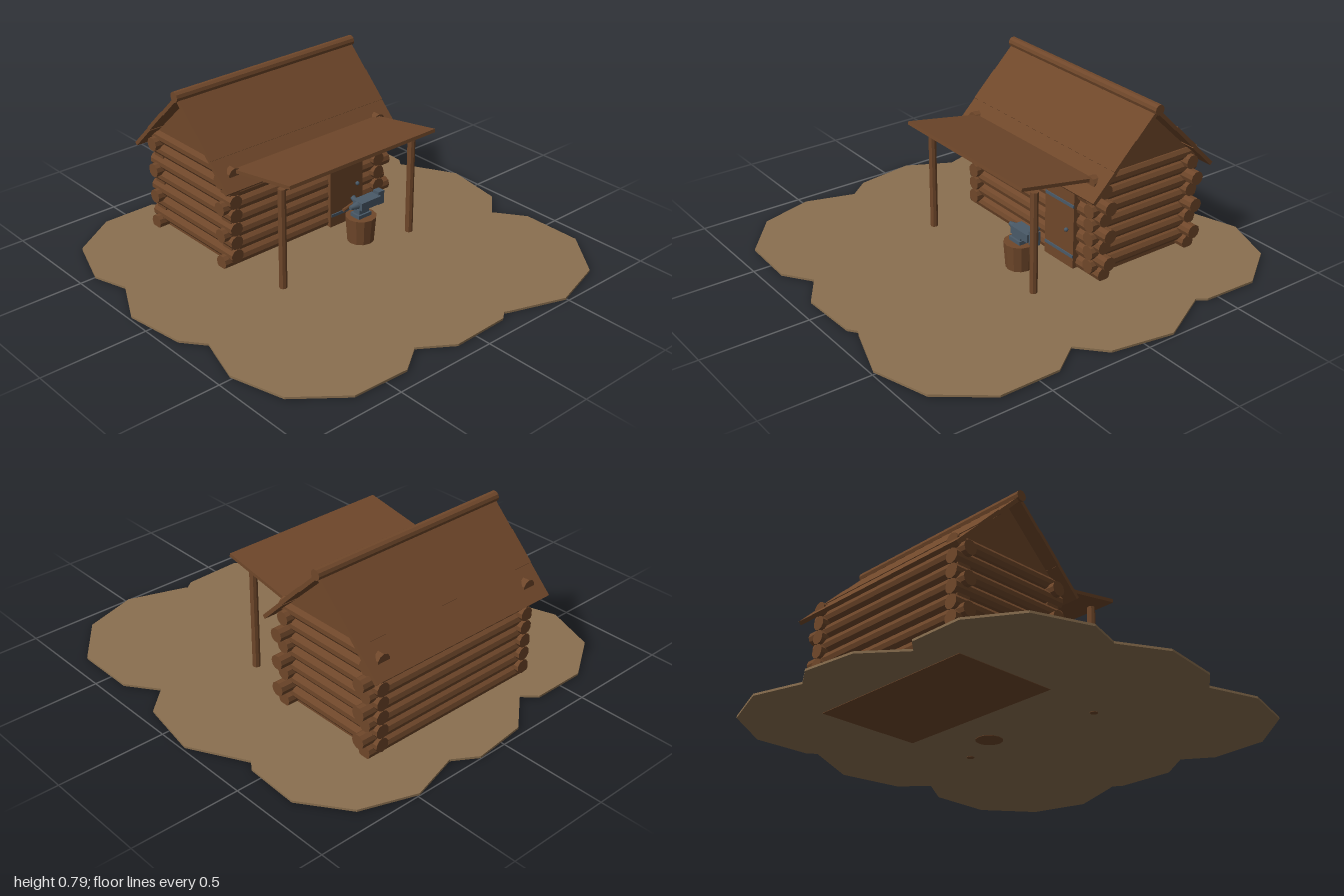
import * as THREE from 'three';

const mat = (name, color) => {
  const m = new THREE.MeshStandardMaterial({ color });
  m.name = name;
  return m;
};

export function createModel() {
  const wood = mat('wood', 0x6f472a);
  const earth = mat('earth', 0x8b7050);
  const iron = mat('iron', 0x4a5a68);
  wood.flatShading = true;

  const model = new THREE.Group();
  model.name = 'logCabin';

  const add = (name, geo, material, x = 0, y = 0, z = 0, parent = model) => {
    const m = new THREE.Mesh(geo, material);
    m.name = name;
    m.position.set(x, y, z);
    parent.add(m);
    return m;
  };
  const box = (name, material, x0, x1, y0, y1, z0, z1, parent) =>
    add(name, new THREE.BoxGeometry(x1 - x0, y1 - y0, z1 - z0), material,
      (x0 + x1) / 2, (y0 + y1) / 2, (z0 + z1) / 2, parent);
  // Round bar between two points
  const bar = (name, a, b, r, material, sides = 10, parent = model) => {
    const p = new THREE.Vector3(...a), q = new THREE.Vector3(...b);
    const d = q.clone().sub(p);
    const m = add(name, new THREE.CylinderGeometry(r, r, d.length(), sides), material, 0, 0, 0, parent);
    m.position.copy(p).add(q).multiplyScalar(0.5);
    m.quaternion.setFromUnitVectors(new THREE.Vector3(0, 1, 0), d.normalize());
    return m;
  };

  // Ground patch with a scalloped outline
  const outline = [
    [-.62, -.88], [-.36, -.88], [-.30, -.82], [-.12, -.97], [.14, -1], [.25, -.93], [.49, -1],
    [.74, -.91], [.89, -.70], [.88, -.44], [.85, -.40], [.99, -.14], [.94, .15], [.82, .26],
    [.92, .40], [.92, .69], [.75, .91], [.49, .99], [.23, .90], [.21, .89], [.17, .92],
    [-.11, .93], [-.26, .83], [-.39, .92], [-.66, .91], [-.87, .74], [-.94, .49], [-.87, .26],
    [-.95, .16], [-.99, -.12], [-.88, -.33], [-.93, -.49], [-.84, -.74],
  ];
  const patch = new THREE.Shape(outline.map(([x, z]) => new THREE.Vector2(x, -z)));
  const ground = add('ground', new THREE.ExtrudeGeometry(patch, { depth: 0.01, bevelEnabled: false }), earth, 0, 0.002, 0);
  ground.rotation.x = -Math.PI / 2;

  // Log walls: side logs sit half a row above the front and back logs
  const xL = -0.41, xR = 0.44, zF = -0.185, zB = -0.685, R = 0.0335, row = 0.067;
  const walls = new THREE.Group();
  walls.name = 'logWalls';
  model.add(walls);
  for (let i = 0; i < 7; i++) {
    const y = 0.037 + i * row;
    const [x0, x1] = i % 2 ? [-0.43, 0.53] : [-0.465, 0.495];
    for (const z of [zF, zB]) bar('wallLog', [x0, y, z], [x1, y, z], R, wood, 10, walls);
    for (const x of [xL, xR]) bar('sideLog', [x, y + row / 2, -0.735], [x, y + row / 2, -0.135], R, wood, 10, walls);
  }
  box('floor', wood, xL, xR, 0, 0.03, zB, zF);

  // Gable ends
  const ridgeZ = -0.436;
  const tri = new THREE.Shape([[-0.25, 0], [0.25, 0], [0, 0.24]].map((p) => new THREE.Vector2(...p)));
  for (const x of [xL, xR]) {
    const g = add('gable', new THREE.ExtrudeGeometry(tri, { depth: 0.03, bevelEnabled: false }), wood, x - 0.015, 0.495, ridgeZ);
    g.rotation.y = Math.PI / 2;
  }

  // Roof: three planks on each slope, and a ridge log
  for (const s of [1, -1]) {
    const slope = new THREE.Group();
    slope.name = 'roofSlope';
    slope.position.set(0.015, 0.76, ridgeZ);
    slope.rotation.y = s > 0 ? 0 : Math.PI;
    model.add(slope);
    for (let i = 0; i < 3; i++) {
      const d = (i + 0.5) * 0.161;
      const lift = i === 1 ? 0.001 : -0.002;
      const p = add('roofPlank', new THREE.BoxGeometry(1.01, 0.018, 0.162), wood, 0,
        (lift - d) * Math.SQRT1_2, (d + lift) * Math.SQRT1_2, slope);
      p.rotation.x = Math.PI / 4;
    }
  }
  bar('ridgeLog', [-0.5, 0.765, ridgeZ], [0.53, 0.765, ridgeZ], 0.025, wood);

  // Porch canopy on two posts
  const canopy = add('canopy', new THREE.BoxGeometry(0.845, 0.016, 0.385), wood, 0.0175, 0.518, 0.037);
  canopy.rotation.x = -Math.atan2(0.065, 0.38);
  for (const x of [-0.365, 0.395]) bar('porchPost', [x, 0, 0.125], [x, 0.495, 0.125], 0.018, wood, 8);

  // Door with strap hinges and a knob
  box('door', wood, 0.14, 0.34, 0.012, 0.385, -0.17, -0.137);
  for (const y of [0.072, 0.32]) box('doorHinge', iron, 0.145, 0.34, y - 0.007, y + 0.007, -0.138, -0.132);
  add('doorKnob', new THREE.SphereGeometry(0.01, 10, 8), iron, 0.3, 0.195, -0.128);

  // Chopping-block stump
  add('stump', new THREE.CylinderGeometry(0.073, 0.062, 0.137, 12), wood, 0.175, 0.0685, 0.033);

  // Anvil
  const anvil = new THREE.Group();
  anvil.name = 'anvil';
  model.add(anvil);
  box('anvilFoot', iron, 0.135, 0.212, 0.137, 0.155, 0.005, 0.063, anvil);
  box('anvilWaist', iron, 0.145, 0.205, 0.155, 0.178, 0.014, 0.054, anvil);
  box('anvilBody', iron, 0.15, 0.27, 0.177, 0.215, 0.004, 0.066, anvil);
  const horn = add('anvilHorn', new THREE.CylinderGeometry(0.01, 0.019, 0.045, 8), iron, 0.13, 0.196, 0.034, anvil);
  horn.rotation.z = Math.PI / 2;
  box('anvilHeel', iron, 0.265, 0.3, 0.165, 0.23, 0.016, 0.054, anvil);

  // Hammer resting on the stump
  bar('hammerHandle', [0.11, 0.165, -0.015], [0.2, 0.172, -0.03], 0.008, wood, 8);
  bar('hammerHead', [0.2, 0.16, -0.005], [0.2, 0.188, -0.052], 0.013, iron, 8);

  return model;
}
